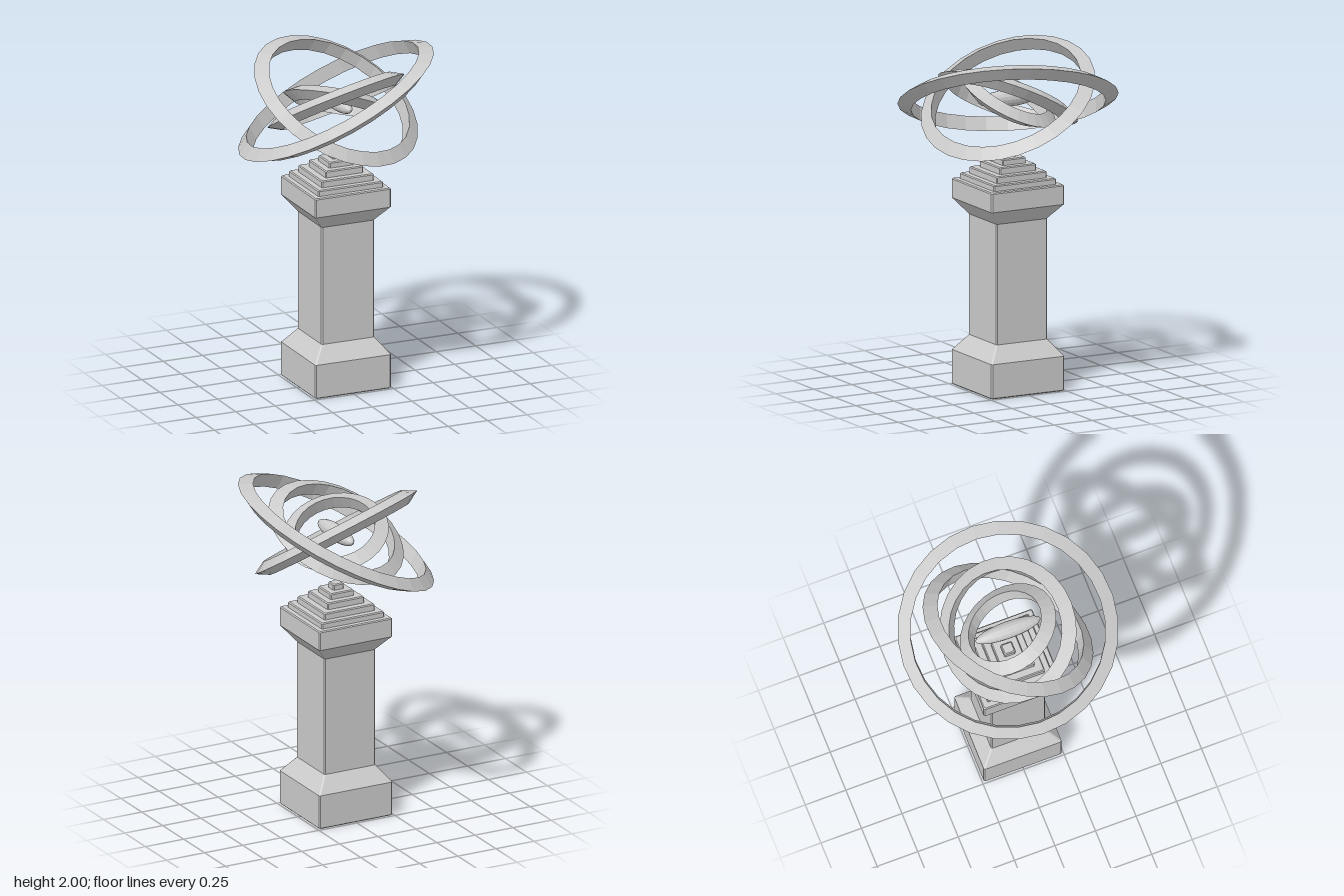
import * as THREE from 'three';

const material = new THREE.MeshStandardMaterial({ color: 0xcccccc, flatShading: true });

// Square column with chamfered corners, lofted through [halfWidth, y] levels
function squareLoft(levels, chamfer) {
  const pos = [], idx = [];
  for (const [h, y] of levels) {
    const c = h - chamfer;
    const corners = [[h, c], [h, -c], [c, -h], [-c, -h], [-h, -c], [-h, c], [-c, h], [c, h]];
    for (const [x, z] of corners) pos.push(x, y, z);
  }
  for (let l = 0; l < levels.length - 1; l++) {
    for (let i = 0; i < 8; i++) {
      const a = l * 8 + i, b = l * 8 + (i + 1) % 8;
      idx.push(a, b, b + 8, a, b + 8, a + 8);
    }
  }
  const top = (levels.length - 1) * 8;
  for (let i = 1; i < 7; i++) {
    idx.push(0, i + 1, i);
    idx.push(top, top + i, top + i + 1);
  }
  const geo = new THREE.BufferGeometry();
  geo.setAttribute('position', new THREE.Float32BufferAttribute(pos, 3));
  geo.setIndex(idx);
  geo.computeVertexNormals();
  return geo;
}

export function createModel() {
  const model = new THREE.Group();
  model.name = 'ringSculpture';

  const add = (name, geometry, parent = model) => {
    const mesh = new THREE.Mesh(geometry, material);
    mesh.name = name;
    parent.add(mesh);
    return mesh;
  };

  // Pedestal: foot, shaft and flared head
  add('pedestal', squareLoft([
    [0.234, 0], [0.24, 0.006], [0.24, 0.205], [0.167, 0.3],
    [0.167, 1.01], [0.24, 1.1], [0.24, 1.209], [0.234, 1.215],
  ], 0.007));

  // Stepped cap of shrinking slabs
  const steps = new THREE.Group();
  steps.name = 'steppedCap';
  model.add(steps);
  const heights = [1.215, 1.25, 1.29, 1.33, 1.365, 1.4];
  [0.205, 0.165, 0.12, 0.077, 0.034].forEach((h, i) => {
    const y0 = heights[i], y1 = heights[i + 1], b = 0.006;
    add('step' + (i + 1), squareLoft([[h, y0], [h, y1 - b], [h - b, y1]], b), steps);
  });

  // Nested floating rings with a triangular section, each tilted to its own axis
  const rings = new THREE.Group();
  rings.name = 'rings';
  rings.position.y = 1.705;
  model.add(rings);
  const forward = new THREE.Vector3(0, 0, 1);
  [
    ['outerRing', 0.587, [-0.43, 0.886, -0.18]],
    ['secondRing', 0.475, [0.26, 0.838, 0.476]],
    ['thirdRing', 0.374, [-0.19, 0.868, -0.46]],
    ['innerRing', 0.257, [0.33, 0.88, -0.33]],
  ].forEach(([name, radius, axis]) => {
    const ring = add(name, new THREE.TorusGeometry(radius, 0.05, 3, 28), rings);
    ring.quaternion.setFromUnitVectors(forward, new THREE.Vector3(...axis).normalize());
  });

  // Elongated core at the centre of the rings
  const core = add('core', new THREE.SphereGeometry(1, 16, 12), rings);
  core.rotation.x = Math.PI / 2;
  core.scale.set(0.05, 0.2, 0.05);

  return model;
}
